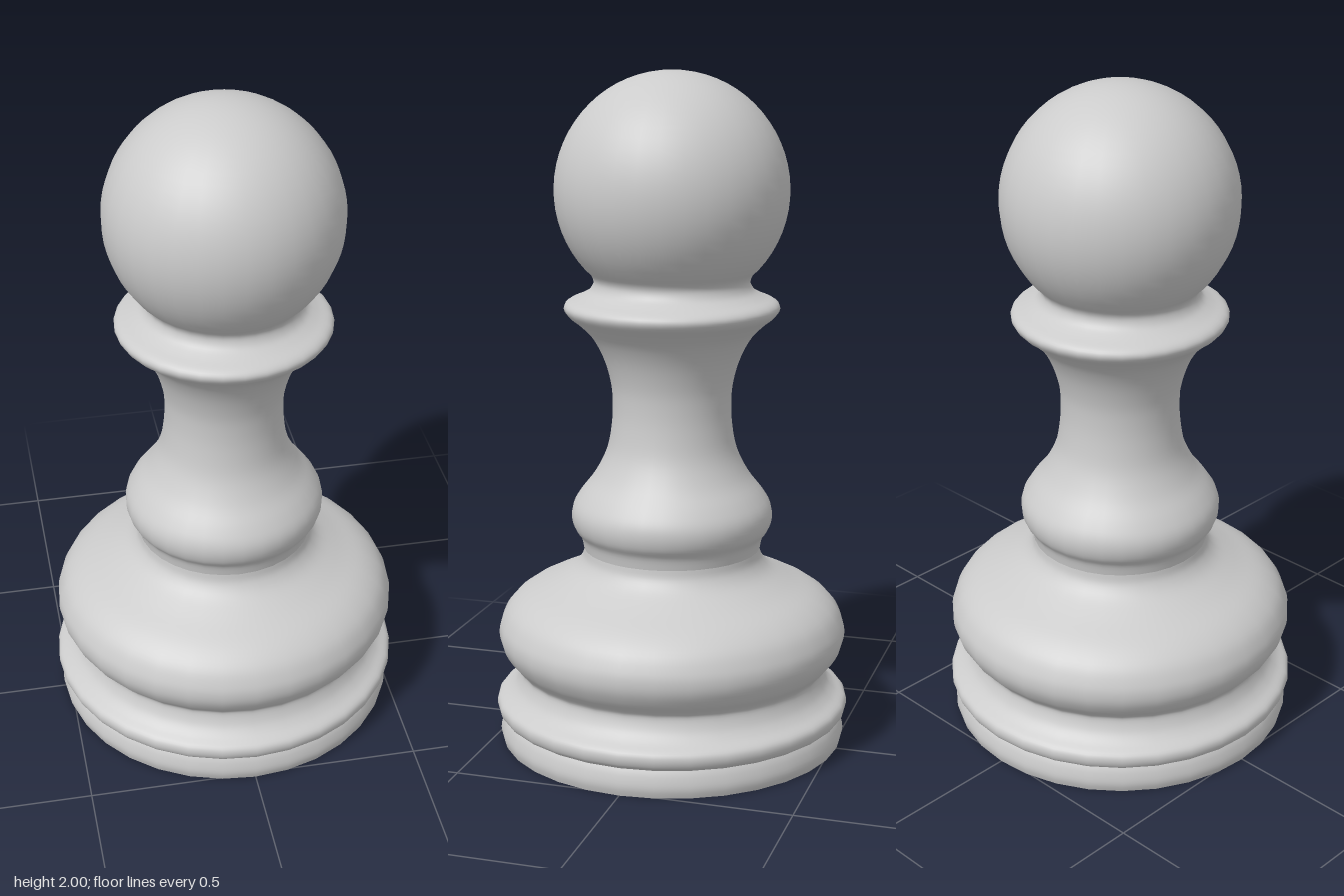
import * as THREE from 'three';

const SIDES = 32;
const material = new THREE.MeshStandardMaterial({ color: 0xcccccc });

// Smooth curve through [radius, height] pairs, spun around the y axis
function turned(name, pairs, steps) {
  const curve = new THREE.SplineCurve(pairs.map(([r, y]) => new THREE.Vector2(r, y)));
  const points = curve.getPoints(steps);
  const mesh = new THREE.Mesh(new THREE.LatheGeometry(points, SIDES), material);
  mesh.name = name;
  return mesh;
}

export function createModel() {
  const group = new THREE.Group();
  group.name = 'pawn';

  // Flat underside
  const underside = new THREE.Mesh(new THREE.CircleGeometry(0.515, SIDES), material);
  underside.name = 'underside';
  underside.rotation.x = Math.PI / 2;
  group.add(underside);

  // Foot band, ending in a sharp groove
  group.add(turned('foot', [
    [0.515, 0], [0.521, 0.02], [0.521, 0.04], [0.515, 0.065], [0.508, 0.08],
  ], 10));

  // Rounded ring, wide bulge and waist of the base
  group.add(turned('base', [
    [0.508, 0.08], [0.525, 0.093], [0.532, 0.115], [0.525, 0.135], [0.495, 0.155],
    [0.473, 0.18], [0.461, 0.215], [0.47, 0.235], [0.495, 0.262], [0.516, 0.3],
    [0.522, 0.335], [0.515, 0.37], [0.49, 0.415], [0.44, 0.455], [0.36, 0.493],
    [0.3, 0.527], [0.271, 0.56], [0.264, 0.59],
  ], 70));

  // Lower bead flowing into the concave stem, up to the collar and neck
  group.add(turned('stem', [
    [0.264, 0.59], [0.272, 0.625], [0.292, 0.655], [0.3, 0.69], [0.294, 0.725],
    [0.27, 0.765], [0.228, 0.82], [0.194, 0.89], [0.179, 0.97], [0.176, 1.04],
    [0.182, 1.1], [0.203, 1.17], [0.236, 1.23], [0.275, 1.27], [0.306, 1.295],
    [0.317, 1.317], [0.305, 1.335], [0.27, 1.35], [0.242, 1.367], [0.23, 1.39],
    [0.235, 1.41], [0.254, 1.431],
  ], 84));

  // Ball head, open where it meets the neck
  const head = new THREE.Mesh(
    new THREE.SphereGeometry(0.342, SIDES, 24, 0, Math.PI * 2, 0, 2.309), material);
  head.name = 'head';
  head.position.y = 1.658;
  group.add(head);

  return group;
}
